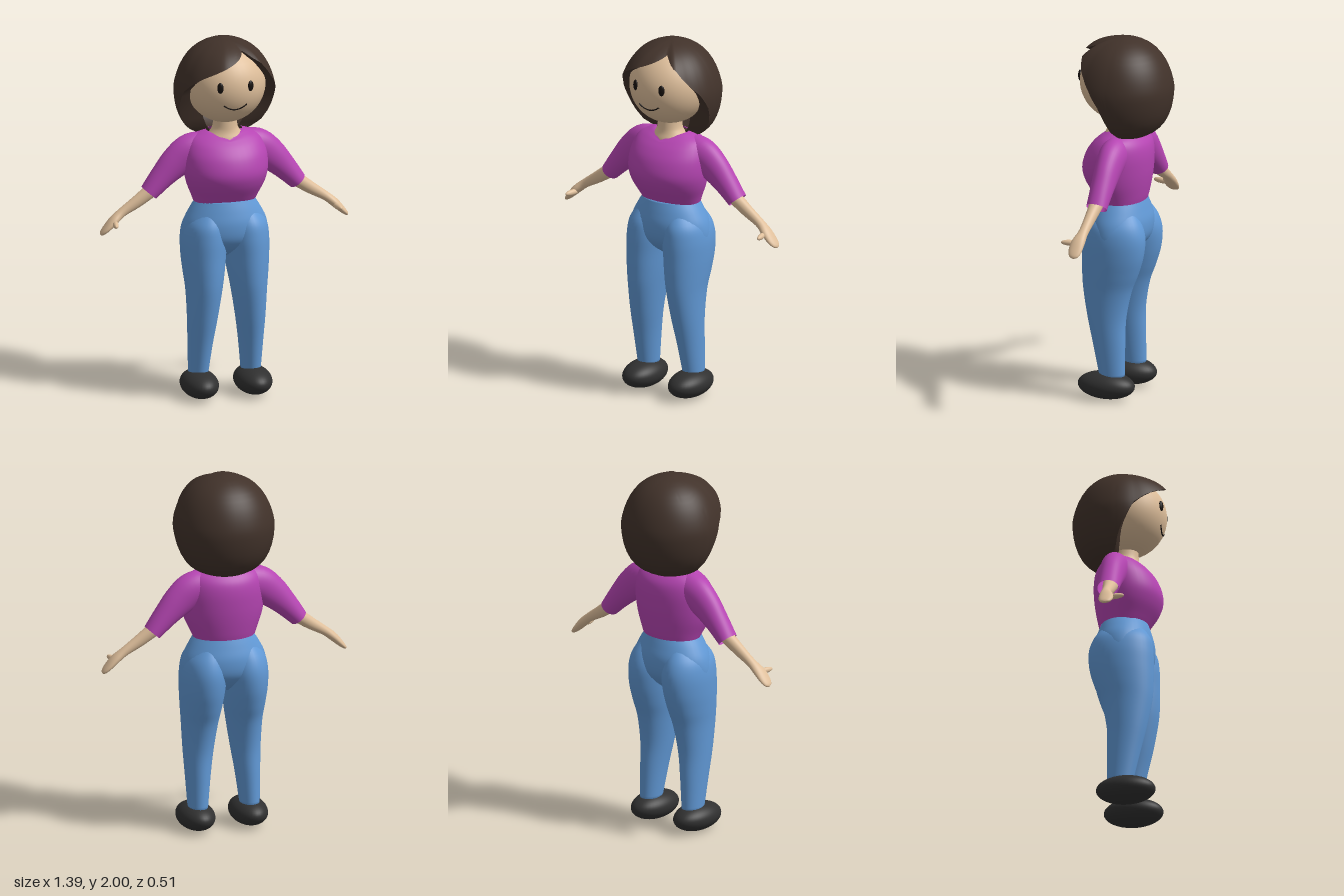
import * as THREE from 'three';
import { toCreasedNormals } from 'three/addons/utils/BufferGeometryUtils.js';

const mat = (color) => new THREE.MeshStandardMaterial({ color, side: THREE.DoubleSide });
const SEG = 40;

// Skin a stack of closed rings, optionally capping the first and last
function loft(rings, capStart = false, capEnd = false) {
  const n = rings[0].length, pos = [], idx = [];
  rings.forEach((r) => r.forEach((p) => pos.push(p.x, p.y, p.z)));
  for (let i = 0; i < rings.length - 1; i++) {
    for (let j = 0; j < n; j++) {
      const a = i * n + j, b = i * n + ((j + 1) % n);
      idx.push(a, b, a + n, b, b + n, a + n);
    }
  }
  const cap = (i, flip) => {
    const c = rings[i].reduce((s, p) => s.add(p), new THREE.Vector3()).divideScalar(n);
    const k = pos.length / 3;
    pos.push(c.x, c.y, c.z);
    for (let j = 0; j < n; j++) {
      const a = i * n + j, b = i * n + ((j + 1) % n);
      if (flip) idx.push(k, b, a); else idx.push(k, a, b);
    }
  };
  if (capStart) cap(0, true);
  if (capEnd) cap(rings.length - 1, false);
  const g = new THREE.BufferGeometry();
  g.setAttribute('position', new THREE.Float32BufferAttribute(pos, 3));
  g.setIndex(idx);
  g.computeVertexNormals();
  return g;
}

// Resample a table of sections smoothly, column by column
function smoothRows(rows, count) {
  const curves = rows[0].map((_, k) =>
    new THREE.SplineCurve(rows.map((r, i) => new THREE.Vector2(i, r[k]))));
  return Array.from({ length: count + 1 }, (_, i) => curves.map((c) => c.getPoint(i / count).y));
}

const ring = (fn) => Array.from({ length: SEG }, (_, j) => fn((j / SEG) * Math.PI * 2));

// Upright body sections, bottom to top: [y, xMin, xMax, zFront, zBack]
const bodyRings = (rows, count = 24) => smoothRows(rows, count).map(([y, x0, x1, zf, zb]) =>
  ring((a) => new THREE.Vector3(
    (x0 + x1) / 2 + ((x1 - x0) / 2) * Math.sin(a), y,
    (zf + zb) / 2 + ((zf - zb) / 2) * Math.cos(a))));
const symmetric = (rows) => rows.map(([y, x, zf, zb]) => [y, -x, x, zf, zb]);

// Limb sections along a path in the xy plane: [x, y, z, r, rz]
function limb(rows, capEnd, count = 20) {
  const s = smoothRows(rows, count);
  return loft(s.map(([x, y, z, r, rz], i) => {
    const p = s[Math.max(0, i - 1)], q = s[Math.min(count, i + 1)];
    const t = new THREE.Vector2(q[0] - p[0], q[1] - p[1]).normalize();
    return ring((a) => new THREE.Vector3(
      x - t.y * r * Math.cos(a), y + t.x * r * Math.cos(a), z + rz * Math.sin(a)));
  }), false, capEnd);
}

function mirrored(geo) {
  const g = geo.clone().scale(-1, 1, 1), ix = g.index;
  for (let i = 0; i < ix.count; i += 3) {
    const b = ix.getX(i + 1);
    ix.setX(i + 1, ix.getX(i + 2));
    ix.setX(i + 2, b);
  }
  return g;
}

// Eased lookup in a table of [key, value]
function lookup(table, k) {
  const i = Math.max(1, table.findIndex((e) => e[0] >= k));
  const [k0, v0] = table[i - 1], [k1, v1] = table[i];
  return THREE.MathUtils.lerp(v0, v1, (k - k0) / (k1 - k0));
}

function ellipsoid(x, y, z, rx, ry, rz) {
  return new THREE.SphereGeometry(1, 40, 28).scale(rx, ry, rz).translate(x, y, z);
}

// Bobbed hair with a side parting: each meridian runs from crown to hairline
function hairGeometry() {
  const profile = new THREE.SplineCurve([
    [0, 2], [0.3, 1.985], [0.56, 1.95], [0.75, 1.9], [0.89, 1.835], [0.98, 1.76], [1, 1.7],
    [0.95, 1.61], [0.83, 1.535], [0.65, 1.485], [0.43, 1.455],
  ].map((p) => new THREE.Vector2(...p)));
  const hairline = [[-180, 1.455], [-105, 1.455], [-92, 1.5], [-81, 1.63], [-68, 1.74], [-55, 1.79],
    [-39, 1.835], [-14, 1.888], [8, 1.925], [25, 1.955], [33, 1.915], [40, 1.89], [48, 1.845],
    [68, 1.75], [81, 1.66], [92, 1.52], [105, 1.455], [180, 1.455]];
  const radius = [[-180, 0.265], [-90, 0.273], [-65, 0.275], [-39, 0.298], [-14, 0.33], [5, 0.31],
    [24, 0.275], [36, 0.32], [55, 0.285], [90, 0.271], [180, 0.265]];
  const n = 90, steps = 20, rings = Array.from({ length: steps + 3 }, () => []);
  for (let j = 0; j < n; j++) {
    const deg = -180 + (j / n) * 360, a = THREE.MathUtils.degToRad(deg);
    const h = lookup(hairline, deg), R = lookup(radius, deg);
    let lo = 0, hi = 1;
    for (let k = 0; k < 24; k++) {
      const m = (lo + hi) / 2;
      if (profile.getPoint(m).y > h) lo = m; else hi = m;
    }
    const put = (i, s, y) => rings[i].push(new THREE.Vector3(Math.sin(a) * R * s, y, Math.cos(a) * R * s));
    const edge = profile.getPoint(hi);
    put(0, edge.x * 0.5, edge.y + 0.01);
    put(1, edge.x * 0.8, edge.y + 0.003);
    for (let i = 0; i <= steps; i++) {
      const p = profile.getPoint(hi * (1 - i / steps));
      put(i + 2, p.x, p.y);
    }
  }
  return toCreasedNormals(loft(rings), 0.9);
}

export function createModel() {
  const model = new THREE.Group();
  const skin = mat(0xdfbf9b), hair = mat(0x41322a), shirt = mat(0xb645b3);
  const denim = mat(0x6199d6), shoe = mat(0x303030), dark = mat(0x18120f);
  const add = (name, geo, material) => {
    const m = new THREE.Mesh(geo, material);
    m.name = name;
    model.add(m);
    return m;
  };
  const pair = (name, geo, material) => {
    add('left' + name, geo, material);
    add('right' + name, mirrored(geo), material);
  };

  // Head and face
  const faceZ = (x, y) => 0.02 + 0.225 * Math.sqrt(1 - (x / 0.22) ** 2 - ((y - 1.755) / 0.22) ** 2);
  add('head', ellipsoid(0, 1.755, 0.02, 0.22, 0.22, 0.225), skin);
  add('hair', hairGeometry(), hair);
  const eye = ellipsoid(0, 0, 0, 0.017, 0.03, 0.01).rotateY(0.38).translate(0.085, 1.78, faceZ(0.085, 1.78));
  pair('Eye', eye, dark);
  const smile = Array.from({ length: 9 }, (_, i) => {
    const x = -0.065 + (i / 8) * 0.13, y = 1.652 + 0.027 * (x / 0.065) ** 2;
    return new THREE.Vector3(x, y, faceZ(x, y));
  });
  add('mouth', new THREE.TubeGeometry(new THREE.CatmullRomCurve3(smile), 24, 0.004, 6), dark);

  // Neck with upper chest, and waist showing under the hem
  add('neck', loft(bodyRings(symmetric([
    [1.42, 0.13, 0.11, -0.08], [1.45, 0.11, 0.108, -0.07], [1.485, 0.08, 0.096, -0.05],
    [1.52, 0.066, 0.092, -0.045], [1.6, 0.064, 0.09, -0.045]]))), skin);
  add('waist', loft(bodyRings(symmetric([
    [1.05, 0.14, 0.12, -0.095], [1.12, 0.145, 0.125, -0.1], [1.22, 0.17, 0.14, -0.11]])), true, true), skin);

  // Shirt body with a dipped V neckline
  const torso = bodyRings(symmetric([
    [1.095, 0.172, 0.135, -0.118], [1.13, 0.186, 0.16, -0.127], [1.2, 0.215, 0.205, -0.14],
    [1.27, 0.23, 0.225, -0.148], [1.35, 0.23, 0.205, -0.15], [1.41, 0.215, 0.165, -0.14],
    [1.45, 0.19, 0.12, -0.115], [1.475, 0.14, 0.085, -0.085], [1.487, 0.1, 0.07, -0.06]]), 40);
  torso.flat().forEach((p) => {
    if (p.y < 1.44 || p.z < 0.01) return;
    const dip = 0.034 * Math.max(0, 1 - Math.abs(p.x) / 0.1) * ((p.y - 1.44) / 0.045);
    p.y -= dip;
    p.z += dip * 1.3;
  });
  add('shirtBody', loft(torso), shirt);
  pair('Sleeve', limb([
    [0.08, 1.385, -0.01, 0.085, 0.08], [0.18, 1.372, -0.01, 0.097, 0.078], [0.26, 1.318, -0.012, 0.088, 0.07],
    [0.34, 1.24, -0.014, 0.068, 0.063], [0.417, 1.153, -0.015, 0.05, 0.058]], false), shirt);

  // Arms, mitten hands and thumbs
  pair('Arm', limb([
    [0.36, 1.2, -0.01, 0.042, 0.042], [0.48, 1.115, -0.006, 0.034, 0.031], [0.57, 1.058, -0.004, 0.025, 0.027],
    [0.62, 1.018, 0.004, 0.024, 0.038], [0.66, 0.978, 0.006, 0.018, 0.038], [0.685, 0.953, 0.005, 0.011, 0.026],
    [0.694, 0.945, 0.004, 0.003, 0.006]], true, 28), skin);
  pair('Thumb', ellipsoid(0, 0, 0, 0.015, 0.016, 0.05).rotateY(0.2).translate(0.622, 1.008, 0.053), skin);

  // Trousers: shared hips plus one loft per leg
  add('hips', loft(bodyRings(symmetric([
    [0.79, 0.1, 0.06, -0.04], [0.84, 0.215, 0.13, -0.1], [0.9, 0.238, 0.172, -0.142],
    [0.98, 0.228, 0.18, -0.15], [1.05, 0.194, 0.166, -0.133], [1.11, 0.155, 0.147, -0.113]])), true, true), denim);
  pair('TrouserLeg', loft(bodyRings([
    [0.12, 0.095, 0.2, 0.08, -0.06], [0.3, 0.075, 0.208, 0.12, -0.06], [0.45, 0.053, 0.215, 0.155, -0.062],
    [0.6, 0.03, 0.222, 0.182, -0.09], [0.7, 0.014, 0.232, 0.19, -0.127], [0.8, 0.002, 0.24, 0.191, -0.156],
    [0.9, -0.008, 0.24, 0.189, -0.164], [0.98, 0.0, 0.222, 0.175, -0.143], [1.05, 0.03, 0.17, 0.13, -0.1]], 40),
  true, true), denim);

  // Shoes
  pair('Shoe', ellipsoid(0.15, 0.075, 0.043, 0.1, 0.075, 0.162), shoe);
  return model;
}
